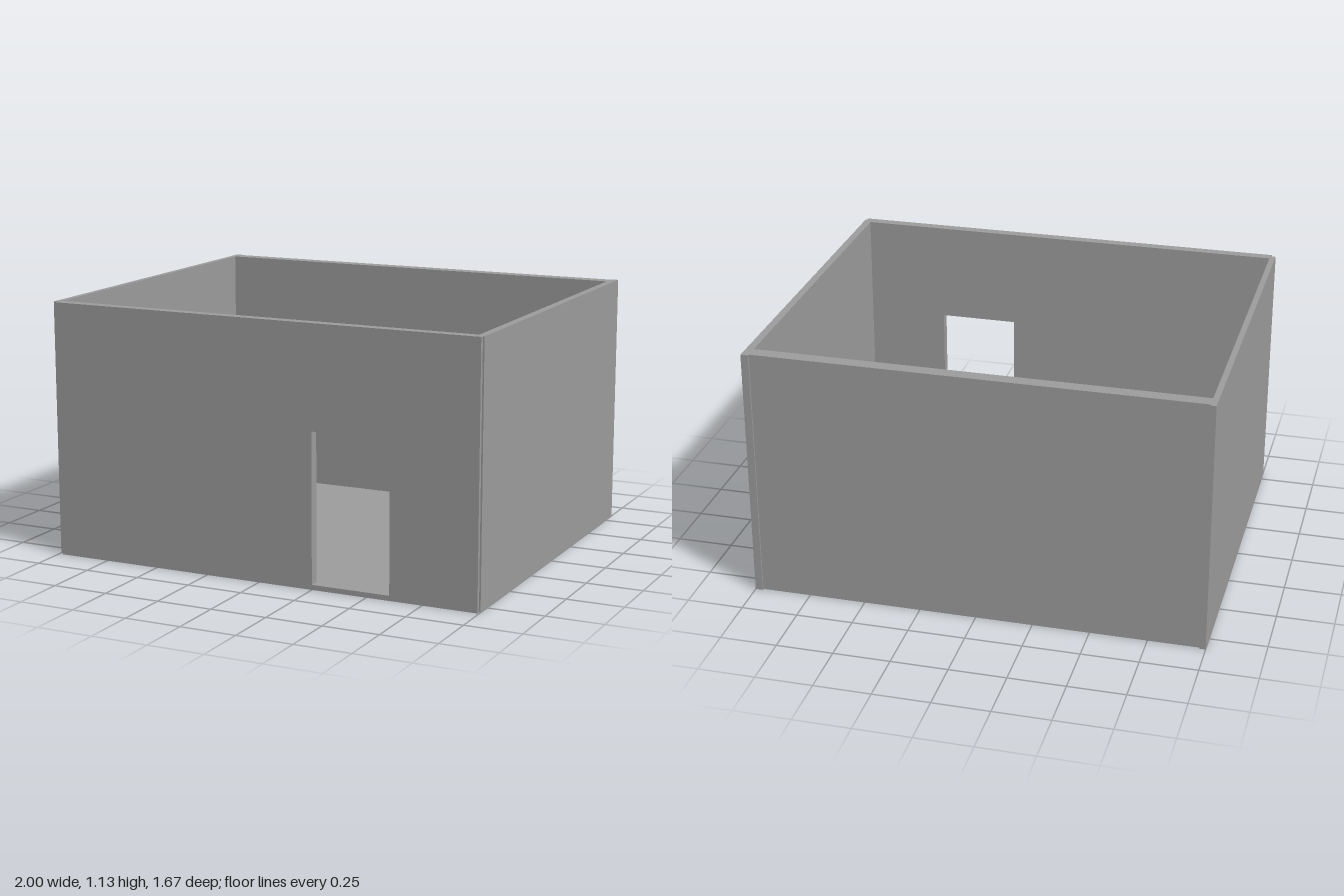
import * as THREE from 'three';

const HEIGHT = 1.128;
const FLOOR = 0.01;
const SILL = 0.022;
// inner faces of the room
const IN = { x0: -0.975, x1: 0.967, z0: -0.768, z1: 0.792 };

export function createModel() {
  const room = new THREE.Group();
  room.name = 'openRoom';
  const material = new THREE.MeshStandardMaterial({ color: 0x9d9d9d });

  const add = (name, geometry) => {
    const mesh = new THREE.Mesh(geometry, material);
    mesh.name = name;
    room.add(mesh);
  };

  // upright block standing on the ground, given by its plan extents
  const block = (name, x0, x1, z0, z1, height) => {
    const geometry = new THREE.BoxGeometry(x1 - x0, height, z1 - z0);
    geometry.translate((x0 + x1) / 2, height / 2, (z0 + z1) / 2);
    add(name, geometry);
  };

  // floor slab between the walls
  block('floor', IN.x0, IN.x1, IN.z0, IN.z1, FLOOR);

  // side walls run slightly past the back wall and stop short of the front face
  block('rightWall', -1, IN.x0, -0.837, 0.82, HEIGHT);
  block('leftWall', IN.x1, 1, -0.837, 0.82, HEIGHT);
  block('backWall', IN.x0, IN.x1, -0.828, IN.z0, HEIGHT);

  // front wall with the doorway cut through, leaving a low sill
  const rect = (path, x0, y0, x1, y1) =>
    path.moveTo(x0, y0).lineTo(x1, y0).lineTo(x1, y1).lineTo(x0, y1).closePath();
  const outline = rect(new THREE.Shape(), -0.98, 0, 0.993, HEIGHT);
  outline.holes.push(rect(new THREE.Path(), 0.25, SILL, 0.604, 0.677));
  const front = new THREE.ExtrudeGeometry(outline, { depth: 0.837 - IN.z1, bevelEnabled: false });
  front.translate(0, 0, IN.z1);
  add('frontWall', front);

  return room;
}
